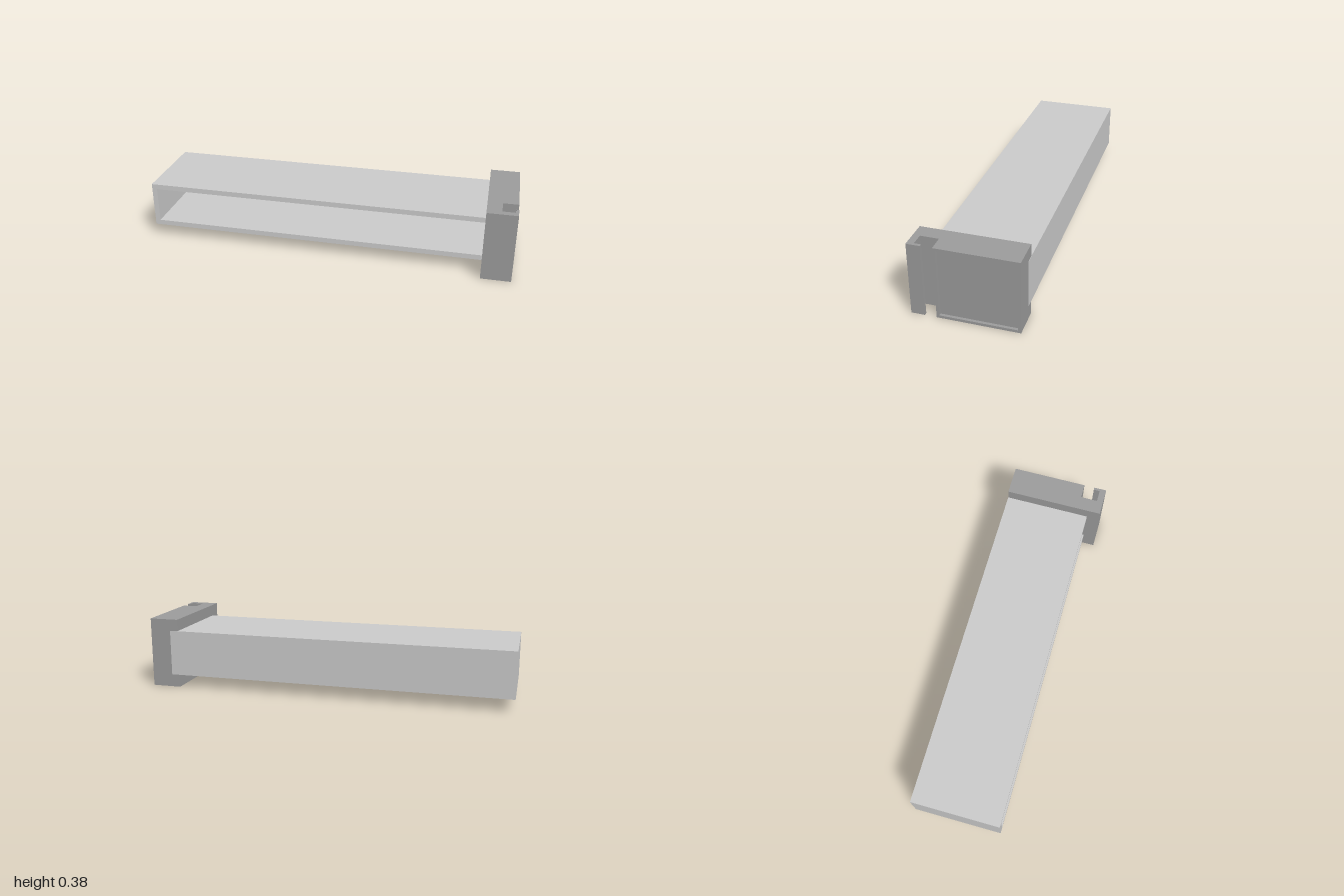
import * as THREE from 'three';

const shellMaterial = new THREE.MeshStandardMaterial({ color: 0xcccccc });
const blockMaterial = new THREE.MeshStandardMaterial({ color: 0x9c9c9c });

const rectPoints = (x0, y0, x1, y1) =>
  [[x0, y0], [x1, y0], [x1, y1], [x0, y1]].map(([x, y]) => new THREE.Vector2(x, y));

// Rectangular frame with a rectangular hole, extruded along +z
function frameGeometry(outer, inner, depth) {
  const shape = new THREE.Shape(rectPoints(...outer));
  shape.holes.push(new THREE.Path(rectPoints(...inner)));
  return new THREE.ExtrudeGeometry(shape, { depth, bevelEnabled: false });
}

function addMesh(group, name, geometry, material) {
  const mesh = new THREE.Mesh(geometry, material);
  mesh.name = name;
  group.add(mesh);
  return mesh;
}

export function createModel() {
  const model = new THREE.Group();
  model.name = 'trayWithEndBlock';

  // Long tray, open at the front; its end is let into the block
  const tray = new THREE.Group();
  tray.name = 'tray';
  const left = 0.885, right = -1, low = 0.07, high = 0.32;
  const wall = 0.028, back = -0.273, front = 0.202;
  const walls = frameGeometry(
    [right, low, left, high],
    [right + wall, low + wall, left - wall, high - wall],
    front - back - wall
  );
  addMesh(tray, 'trayWalls', walls, shellMaterial).position.z = back + wall;
  const panel = new THREE.BoxGeometry(left - right, high - low, wall);
  addMesh(tray, 'trayBack', panel, shellMaterial)
    .position.set((left + right) / 2, (low + high) / 2, back + wall / 2);
  model.add(tray);

  // End block: plan outline (x, z) with a hooked slot running its full height
  const endBlock = new THREE.Group();
  endBlock.name = 'endBlock';
  const height = 0.384, depth = 0.272, face = 0.985, slotBack = 0.143;
  const outline = [
    [0.84, -depth], [face, -depth], [face, slotBack], [0.918, slotBack],
    [0.918, 0.237], [face, 0.237], [face, 0.202], [1, 0.202], [1, depth], [0.84, depth],
  ].map(([x, z]) => new THREE.Vector2(x, -z));
  const body = new THREE.ExtrudeGeometry(new THREE.Shape(outline), { depth: height, bevelEnabled: false });
  body.rotateX(-Math.PI / 2);
  addMesh(endBlock, 'slottedBlock', body, blockMaterial);

  // Raised rim around the recessed end panel
  const rim = 0.014;
  const rimGeometry = frameGeometry(
    [-slotBack, 0, depth, height],
    [-slotBack + rim, rim, depth - rim, height - rim],
    1 - face
  );
  rimGeometry.rotateY(Math.PI / 2);
  addMesh(endBlock, 'panelRim', rimGeometry, blockMaterial).position.x = face;
  model.add(endBlock);

  return model;
}
